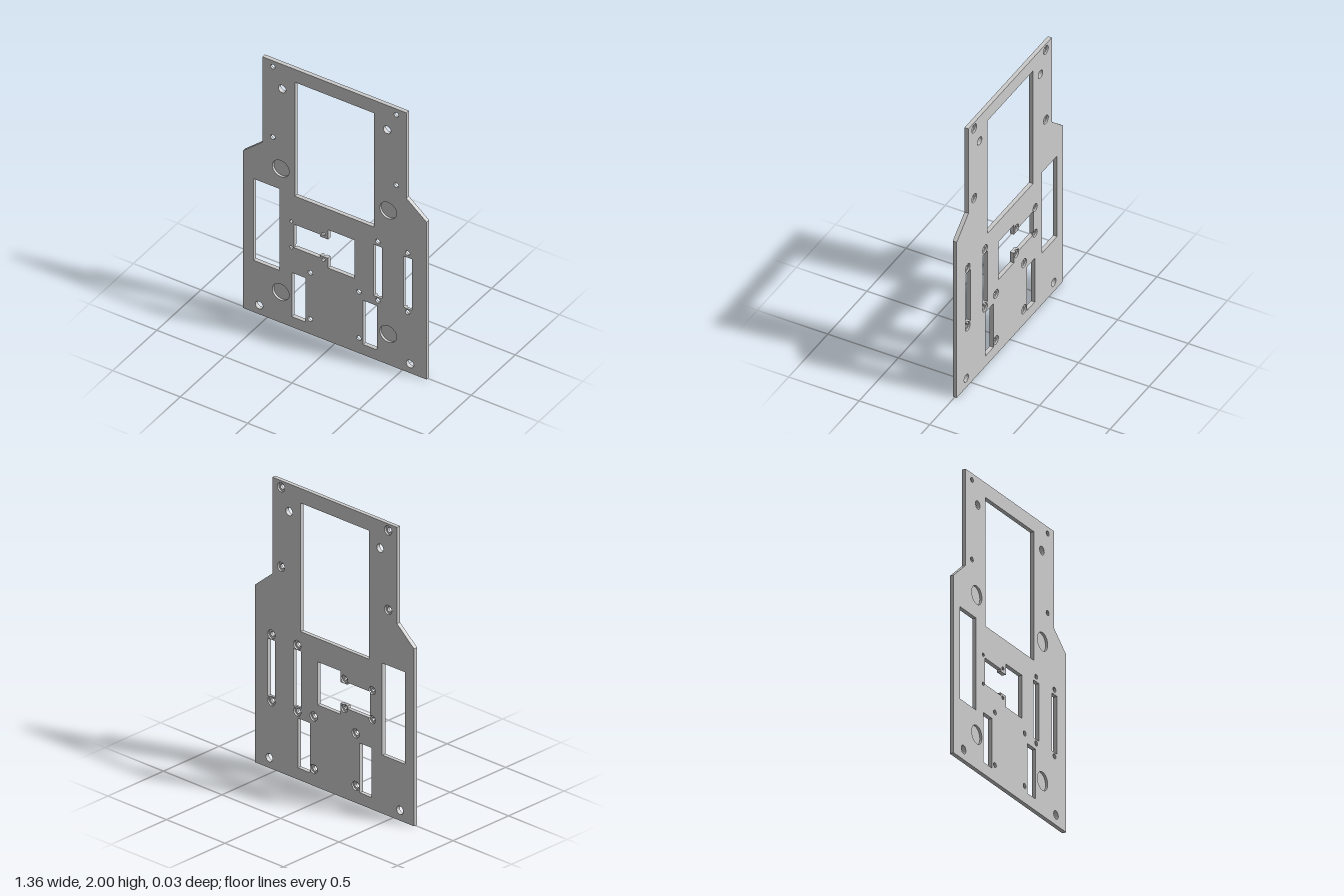
import * as THREE from 'three';
import { toCreasedNormals } from 'three/addons/utils/BufferGeometryUtils.js';

const BACK = -0.014, STEP = -0.002, FRONT = 0.014; // STEP: depth of pockets and counterbores

const points = (list) => list.map(([x, y]) => new THREE.Vector2(x, y));
const rect = (x0, y0, x1, y1) => points([[x0, y0], [x1, y0], [x1, y1], [x0, y1]]);
const circle = ([x, y], r) => new THREE.Path().absarc(x, y, r, 0, Math.PI * 2, true);

// Widens a counter-clockwise cutout by a circle that breaks through its edge.
// Returns null when the two do not meet.
function widen(poly, [cx, cy], r) {
  const out = [];
  let entry = null;
  let met = false;
  const c = new THREE.Vector2(cx, cy);
  poly.forEach((a, i) => {
    const d = poly[(i + 1) % poly.length].clone().sub(a);
    const f = a.clone().sub(c);
    if (f.length() > r) out.push(a);
    const A = d.dot(d), B = f.dot(d), disc = B * B - A * (f.dot(f) - r * r);
    if (disc <= 0) return;
    const t0 = (-B - Math.sqrt(disc)) / A, t1 = (-B + Math.sqrt(disc)) / A;
    if (t0 > 0 && t0 < 1) entry = f.clone().addScaledVector(d, t0).angle();
    if (t1 > 0 && t1 < 1 && entry !== null) {
      let end = f.clone().addScaledVector(d, t1).angle();
      if (end < entry) end += Math.PI * 2;
      for (let k = 0; k <= 20; k++) {
        const w = entry + (end - entry) * k / 20;
        out.push(new THREE.Vector2(cx + r * Math.cos(w), cy + r * Math.sin(w)));
      }
      entry = null;
      met = true;
    }
  });
  return met ? out : null;
}

// Plate outline with sloped shoulders
const outline = points([
  [-0.68, 0], [0.68, 0], [0.68, 1.215], [0.53, 1.34],
  [0.53, 2], [-0.535, 2], [-0.535, 1.34], [-0.68, 1.215],
]);

// Rectangular openings and the notched opening in the middle
const cutouts = [
  rect(-0.295, 1.02, 0.29, 1.9),
  rect(-0.603, 0.4, -0.408, 1.03),
  rect(0.287, 0.49, 0.349, 0.885),
  rect(0.507, 0.49, 0.57, 0.885),
  rect(-0.317, 0.08, -0.216, 0.42),
  rect(0.21, 0.08, 0.312, 0.42),
  points([
    [0.145, 0.565], [0.145, 0.86], [-0.05, 0.86], [-0.05, 0.785], [-0.11, 0.785], [-0.11, 0.8],
    [-0.302, 0.8], [-0.302, 0.62], [-0.11, 0.62], [-0.11, 0.64], [-0.05, 0.64], [-0.05, 0.565],
  ]),
];

// Plain through holes
const plainHoles = [[-0.39, 1.81], [0.387, 1.81], [-0.56, 0.07], [0.557, 0.07]];

// Screw holes, counterbored from the back
const screws = [];
const addScrews = (xs, ys, r, bore) =>
  xs.forEach((x) => ys.forEach((y) => screws.push({ at: [x, y], r, bore })));
addScrews([-0.459, 0.456], [1.41, 1.954], 0.017, 0.031);
addScrews([-0.181, 0.178], [0.115, 0.475], 0.017, 0.031);
addScrews([0.318, 0.539], [0.463, 0.919], 0.017, 0.031);
addScrews([-0.322, -0.084], [0.614, 0.814], 0.012, 0.027);

// Round blind pockets in the front
const pockets = [[-0.4, 1.19], [0.395, 1.19], [-0.4, 0.236], [0.395, 0.236]];

function layer(name, openings, circles, z0, z1, material) {
  const shape = new THREE.Shape(outline);
  openings.forEach((o) => shape.holes.push(new THREE.Path(o)));
  shape.holes.push(...circles);
  const geometry = new THREE.ExtrudeGeometry(shape, { depth: z1 - z0, bevelEnabled: false, curveSegments: 32 });
  geometry.translate(0, 0, z0);
  const mesh = new THREE.Mesh(toCreasedNormals(geometry, 0.6), material);
  mesh.name = name;
  return mesh;
}

export function createModel() {
  const group = new THREE.Group();
  group.name = 'mountingPlate';
  const material = new THREE.MeshStandardMaterial({ color: 0xcccccc });
  const plain = () => plainHoles.map((p) => circle(p, 0.028));

  // Front half: screw holes and pockets; its rear face forms the counterbore floors
  const frontCircles = [
    ...plain(),
    ...screws.map((s) => circle(s.at, s.r)),
    ...pockets.map((p) => circle(p, 0.062)),
  ];
  group.add(layer('plateFront', cutouts, frontCircles, STEP, FRONT, material));

  // Back half: counterbores, some open into a neighbouring cutout; its front closes the pockets
  const openings = [...cutouts];
  const backCircles = plain();
  screws.forEach((s) => {
    let open = false;
    openings.forEach((o, i) => {
      const wider = widen(o, s.at, s.bore);
      if (wider) {
        openings[i] = wider;
        open = true;
      }
    });
    if (!open) backCircles.push(circle(s.at, s.bore));
  });
  group.add(layer('plateBack', openings, backCircles, BACK, STEP, material));

  return group;
}
